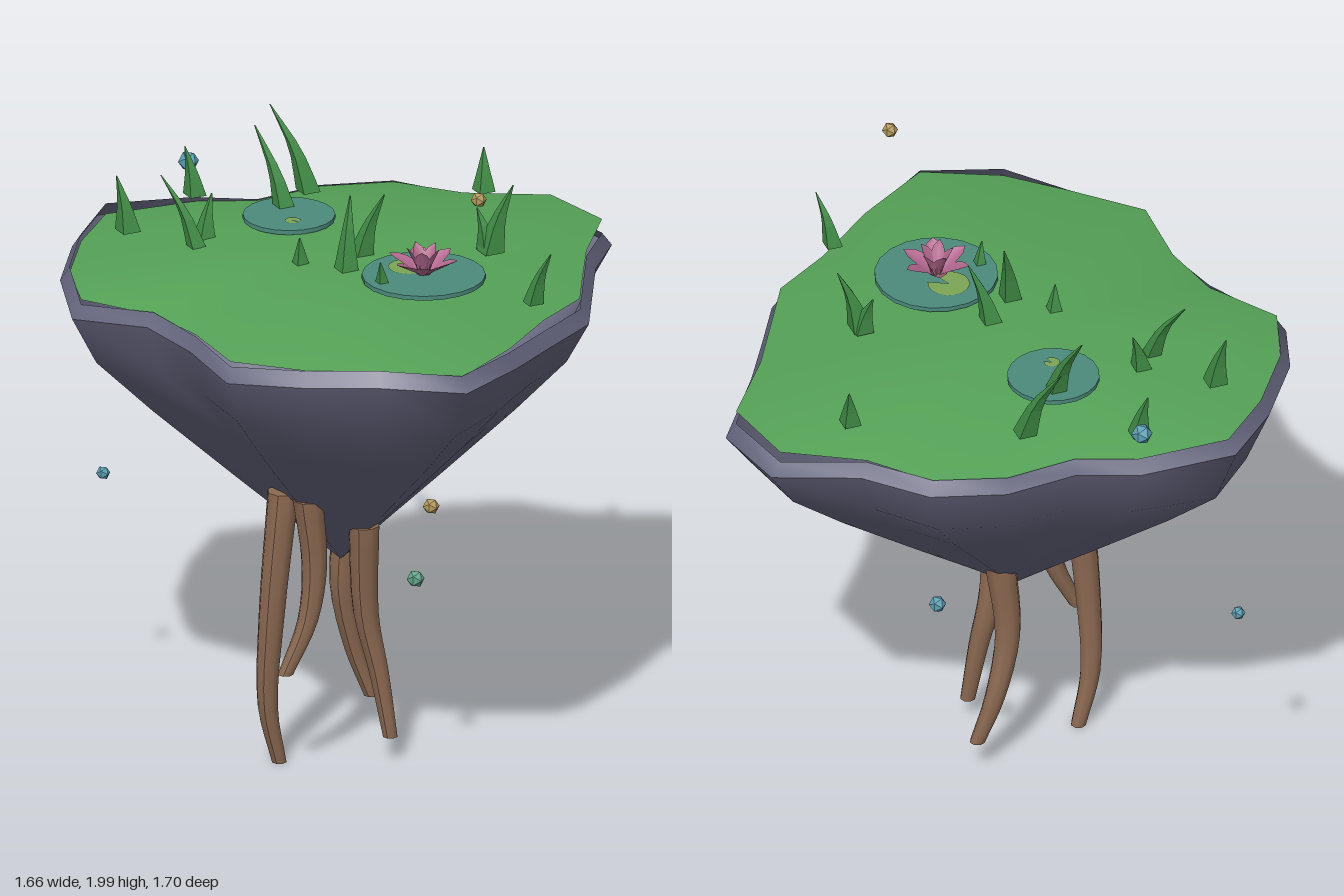
import * as THREE from 'three';

const V = (x, y, z) => new THREE.Vector3(x, y, z);
const mat = (color, flatShading = false) =>
  new THREE.MeshStandardMaterial({ color, flatShading, side: THREE.DoubleSide });

// Island outline: x, z, rim height
const RIM = [
  [0.83, -0.02, 1.51], [0.78, 0.2, 1.51], [0.755, 0.47, 1.535], [0.69, 0.75, 1.55],
  [0.44, 0.84, 1.57], [0.2, 0.85, 1.545], [-0.05, 0.85, 1.53], [-0.23, 0.66, 1.54],
  [-0.41, 0.54, 1.555], [-0.67, 0.485, 1.53], [-0.78, 0.27, 1.565], [-0.83, 0, 1.57],
  [-0.83, -0.25, 1.58], [-0.6, -0.44, 1.56], [-0.41, -0.51, 1.55], [-0.26, -0.69, 1.55],
  [-0.05, -0.8, 1.55], [0.19, -0.78, 1.54], [0.46, -0.85, 1.51], [0.68, -0.7, 1.5],
  [0.72, -0.42, 1.53], [0.78, -0.2, 1.515],
];
const TIP = V(0.05, 0.62, 0.04);

// Skins a list of closed rings
function loft(rings) {
  const n = rings[0].length, index = [];
  for (let i = 0; i < rings.length - 1; i++) {
    for (let j = 0; j < n; j++) {
      const a = i * n + j, b = i * n + (j + 1) % n;
      index.push(a, b, a + n, b, b + n, a + n);
    }
  }
  const geo = new THREE.BufferGeometry().setFromPoints(rings.flat());
  geo.setIndex(index);
  geo.computeVertexNormals();
  return geo;
}

// Tapered stalk whose cross-sections follow a curve from its first point to its last
function stalk(points, r0, r1, sides, steps) {
  const curve = new THREE.CatmullRomCurve3(points);
  const geo = new THREE.CylinderGeometry(r1, r0, 1, sides, steps);
  const pos = geo.attributes.position;
  for (let i = 0; i < pos.count; i++) {
    const p = curve.getPoint(THREE.MathUtils.clamp(pos.getY(i) + 0.5, 0, 1));
    pos.setXYZ(i, p.x + pos.getX(i), p.y, p.z + pos.getZ(i));
  }
  geo.computeVertexNormals();
  return geo;
}

// Pointed, cupped petal leaning outwards along +z
function petal(length, width, lean) {
  const geo = new THREE.PlaneGeometry(1, 1, 2, 5);
  const pos = geo.attributes.position;
  for (let i = 0; i < pos.count; i++) {
    const u = pos.getX(i) * 2, t = pos.getY(i) + 0.5;
    const w = width * (0.25 + 0.75 * Math.sin(Math.PI * Math.min(1, t * 0.85 + 0.1))) * (t > 0.99 ? 0.05 : 1);
    const out = 0.01 + t * length * Math.sin(lean), up = t * length * Math.cos(lean);
    const cup = 0.012 * u * u * Math.sin(Math.PI * t);
    pos.setXYZ(i, u * w / 2, up + cup * Math.sin(lean), out - cup * Math.cos(lean));
  }
  geo.computeVertexNormals();
  return geo;
}

export function createModel() {
  const model = new THREE.Group();
  const add = (name, geo, material, parent = model) => {
    const mesh = new THREE.Mesh(geo, material);
    mesh.name = name;
    parent.add(mesh);
    return mesh;
  };
  const group = (name) => {
    const g = new THREE.Group();
    g.name = name;
    model.add(g);
    return g;
  };

  // Rock: tapering rings down to the tip, and a bevelled rim
  const rockMat = mat(0x66667f);
  const outer = RIM.map(([x, z, y]) => V(x, y - 0.045, z));
  const inner = RIM.map(([x, z, y]) => V(x * 0.965, y, z * 0.965));
  const levels = [[0.91, 1.335], [0.7, 1.16], [0.39, 0.92], [0.18, 0.76], [0, TIP.y]];
  const rings = levels.map(([s, y]) =>
    RIM.map(([x, z]) => V(THREE.MathUtils.lerp(TIP.x, x, s), y, THREE.MathUtils.lerp(TIP.z, z, s))));
  add('rock', loft([outer, ...rings]), rockMat);
  add('rockRim', loft([inner, outer]), rockMat);

  // Domed turf
  const turf = [0, 0.2, 0.4, 0.6, 0.8, 0.9, 0.965].map((s) =>
    RIM.map(([x, z]) => V(x * s, 1.618 - 0.078 * s ** 2.2, z * s)));
  add('turf', loft(turf), mat(0x55a257));

  // Ponds with lily pads
  const padMat = mat(0x7da556);
  const ponds = [[0.35, 0.14, 0.19, 0.29, 0.1, 0.065], [-0.2, -0.21, 0.142, -0.17, -0.155, 0.025]];
  for (const [x, z, r, px, pz, pr] of ponds) {
    add('pond', new THREE.CylinderGeometry(r, r, 0.014, 20), mat(0x4c8a7c)).position.set(x, 1.624, z);
    const pad = add('lilyPad', new THREE.CircleGeometry(pr, 14, 0.3, 5.6), padMat);
    pad.rotation.x = -Math.PI / 2;
    pad.position.set(px, 1.634, pz);
  }

  // Water lily: two whorls of petals around a small heart
  const flower = group('flower');
  flower.position.set(0.35, 1.63, 0.14);
  const petalMat = mat(0xb56a90);
  for (const [count, length, width, lean, turn] of [[6, 0.115, 0.06, 1.05, 0.52], [5, 0.1, 0.045, 0.45, 0.2]]) {
    for (let i = 0; i < count; i++) {
      add('petal', petal(length, width, lean), petalMat, flower).rotation.y = turn + i * 2 * Math.PI / count;
    }
  }
  add('flowerHeart', new THREE.SphereGeometry(0.014, 8, 6), mat(0xc9a860), flower).position.y = 0.02;

  // Grass blades: base x, z, tip x, y, z, base radius
  const blades = group('grassBlades');
  const bladeMat = mat(0x3f8a44, true);
  const bladeList = [
    [-0.65, 0, -0.69, 1.77, -0.01, 0.042], [-0.55, -0.35, -0.585, 1.75, -0.36, 0.038],
    [-0.41, 0.06, -0.53, 1.81, 0.04, 0.032], [-0.23, -0.27, -0.35, 1.86, -0.33, 0.04],
    [-0.23, -0.49, -0.36, 1.86, -0.51, 0.04], [-0.41, -0.02, -0.4, 1.73, -0.06, 0.036],
    [-0.05, 0.13, -0.05, 1.7, 0.14, 0.032], [0.1, 0.14, 0.09, 1.83, 0.07, 0.042],
    [0.1, 0, 0.17, 1.81, -0.02, 0.042], [0.28, -0.66, 0.27, 1.73, -0.69, 0.038],
    [0.46, -0.18, 0.52, 1.81, -0.22, 0.045], [0.45, -0.19, 0.41, 1.73, -0.2, 0.04],
    [0.72, 0.19, 0.78, 1.77, 0.2, 0.034], [0.25, 0.24, 0.25, 1.7, 0.26, 0.03],
  ];
  for (const [x, z, tx, ty, tz, r] of bladeList) {
    const mid = V(x + (tx - x) * 0.35, (1.6 + ty) / 2, z + (tz - z) * 0.35);
    add('grassBlade', stalk([V(x, 1.6, z), mid, V(tx, ty, tz)], r, 0.002, 4, 5), bladeMat, blades);
  }

  // Hanging roots, listed from bottom end to top
  const roots = group('roots');
  const rootMat = mat(0x8c6a52);
  [
    [V(-0.085, 0.01, 0.235), V(-0.11, 0.2, 0.27), V(-0.095, 0.5, 0.28), V(-0.065, 0.91, 0.255)],
    [V(-0.02, 0.355, 0.37), V(0.035, 0.52, 0.32), V(0.05, 0.7, 0.3), V(0.035, 0.92, 0.32)],
    [V(0.235, 0.09, 0.12), V(0.2, 0.3, 0.125), V(0.165, 0.5, 0.145), V(0.17, 0.8, 0.18)],
    [V(0.095, 0.12, -0.12), V(0.05, 0.28, -0.09), V(0.025, 0.5, -0.05), V(0.045, 0.76, -0.06)],
  ].forEach((points) => add('root', stalk(points, 0.024, 0.05, 8, 12), rootMat, roots));

  // Floating motes: position, radius, color
  const motes = group('floatingMotes');
  for (const [x, y, z, r, color] of [
    [0.59, 1.975, 0.33, 0.025, 0xb59a5c], [-0.6, 1.67, -0.44, 0.033, 0x5b9fb5],
    [-0.74, 0.78, -0.03, 0.022, 0x5b9fb5], [0.05, 0.9, -0.52, 0.027, 0x5b9fb5],
    [0.43, 0.94, 0.31, 0.026, 0xb59a5c], [0.37, 0.683, 0.28, 0.028, 0x62a58c],
  ]) {
    add('mote', new THREE.IcosahedronGeometry(r, 0), mat(color, true), motes).position.set(x, y, z);
  }

  return model;
}
